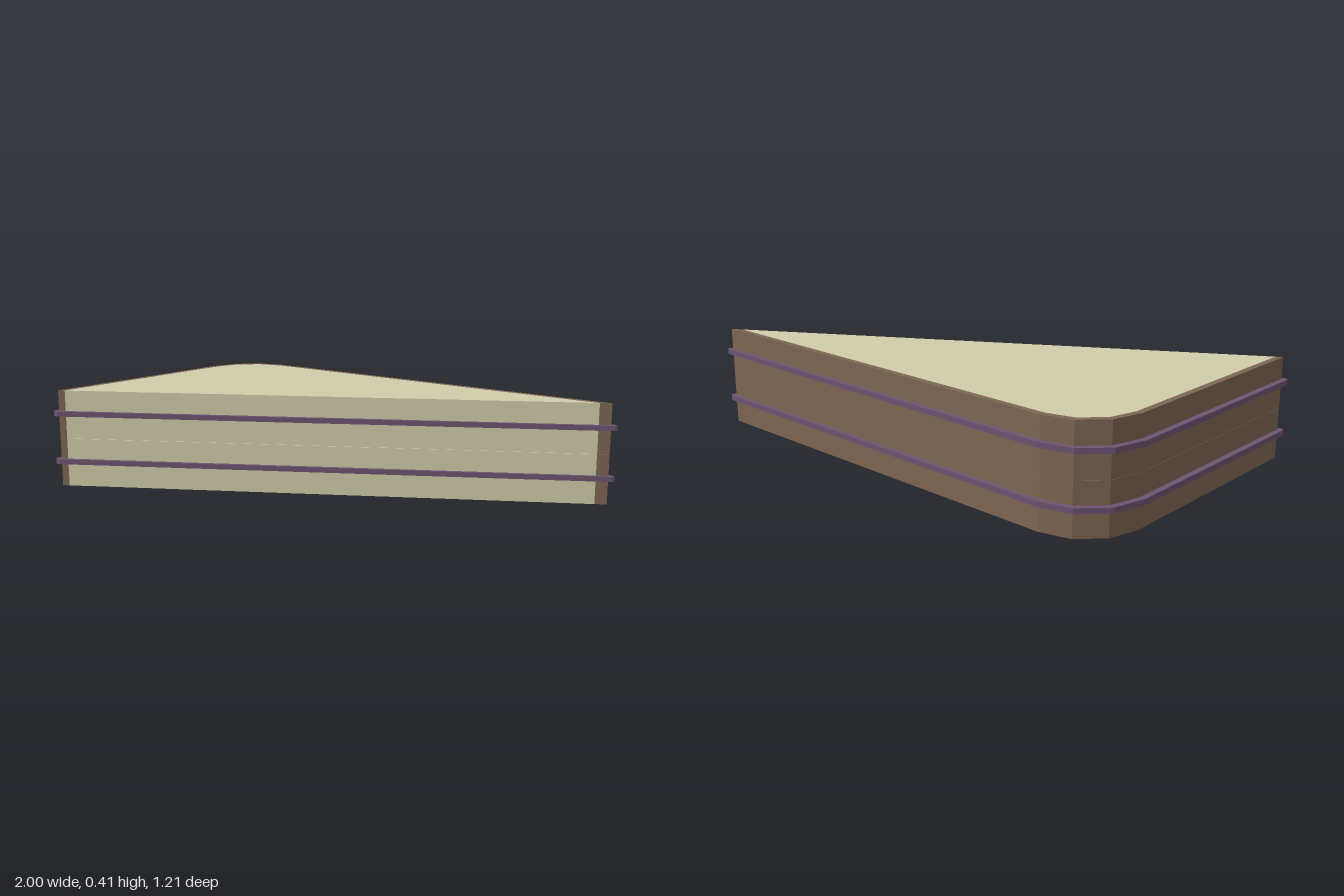
import * as THREE from 'three';

const bread = new THREE.MeshStandardMaterial({ color: 0xcfcda9, flatShading: true });
const crust = new THREE.MeshStandardMaterial({ color: 0x7d6653, flatShading: true });
const filling = new THREE.MeshStandardMaterial({ color: 0x6c5472, flatShading: true });

const CORNER = [-0.74, -0.35]; // centre of the rounded corner (x, z)

// L-shaped outer path at a corner radius, both ends cut by the line z = offset - 0.6x
function path(r, offset) {
  const [cx, cz] = CORNER;
  const pts = [[cx - r, offset - 0.6 * (cx - r)]];
  for (let i = 0; i <= 3; i++) {
    const a = (i * Math.PI) / 6;
    pts.push([cx - r * Math.cos(a), cz - r * Math.sin(a)]);
  }
  pts.push([(offset - (cz - r)) / 0.6, cz - r]);
  return pts;
}

// Horizontal slab from an (x, z) outline between two heights
function slab(name, points, y0, y1, material) {
  const shape = new THREE.Shape(points.map(([x, z]) => new THREE.Vector2(x, -z)));
  const geometry = new THREE.ExtrudeGeometry(shape, { depth: y1 - y0, bevelEnabled: false });
  geometry.rotateX(-Math.PI / 2).translate(0, y0, 0);
  const mesh = new THREE.Mesh(geometry, material);
  mesh.name = name;
  return mesh;
}

export function createModel() {
  const group = new THREE.Group();
  group.name = 'sandwichWedge';

  const outer = path(0.237, -0.002);
  const inner = path(0.212, -0.002);
  const crustOutline = [...outer, ...inner.slice().reverse()];

  // Filling sticks out past the crust, with blunted tips
  const fillingOutline = [
    [-0.97, 0.602], [-0.99, 0.602], [-1, 0.592],
    ...path(0.255, 0).slice(1, 5).map(([x, z]) => [Math.max(x - 0.005, -1), z]),
    [0.98, -0.605], [1, -0.595], [0.995, -0.582],
  ];

  // Two stacked sandwiches, each of two slices around a filling
  for (const y of [0, 0.2065]) {
    const sandwich = new THREE.Group();
    sandwich.name = y ? 'upperSandwich' : 'lowerSandwich';
    for (const [label, y0, y1] of [['lower', 0, 0.097], ['upper', 0.118, 0.2055]]) {
      sandwich.add(slab(label + 'Bread', inner, y + y0, y + y1, bread));
      sandwich.add(slab(label + 'Crust', crustOutline, y + y0, y + y1, crust));
    }
    sandwich.add(slab('filling', fillingOutline, y + 0.097, y + 0.118, filling));
    group.add(sandwich);
  }
  return group;
}
